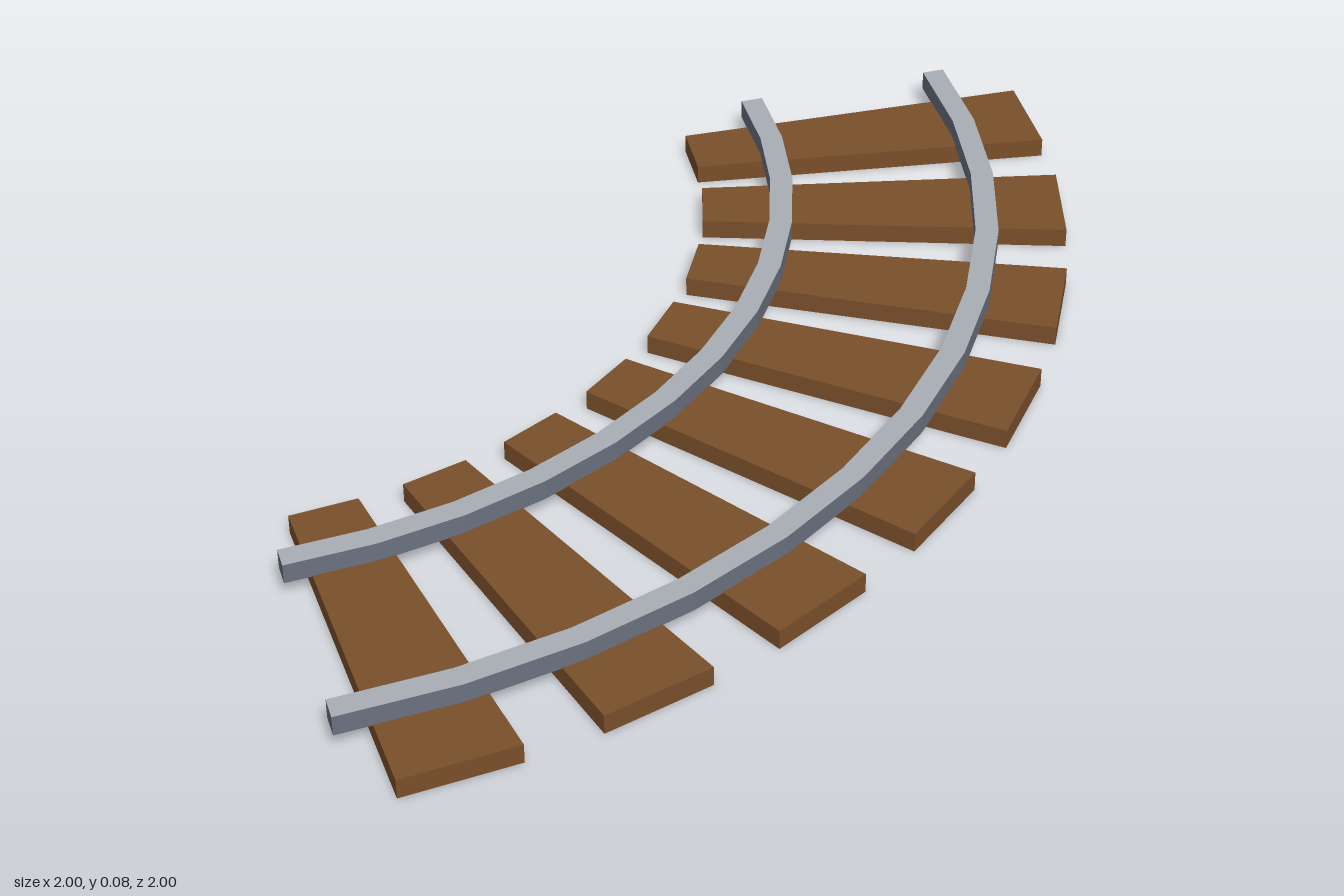
import * as THREE from 'three';

const tieBrown = new THREE.MeshStandardMaterial({ color: 0x7a4f2b });
tieBrown.name = 'tieBrown';
const railSteel = new THREE.MeshStandardMaterial({ color: 0x6b7280 });
railSteel.name = 'railSteel';
const railTopSteel = new THREE.MeshStandardMaterial({ color: 0xa9adb5 });
railTopSteel.name = 'railTopSteel';

// The curve is a quarter turn about the corner (-1, -1) of the ground plane.
const CENTRE = -1;
const rad = THREE.MathUtils.degToRad;

// Faceted ring sector between two radii, angles in degrees measured from +z.
// Material 0 covers the underside and walls, material 1 the top face.
function sector(r0, r1, a0, a1, segments, y0, y1) {
  const inner = [], outer = [];
  for (let i = 0; i <= segments; i++) {
    const a = rad(a0 + (a1 - a0) * i / segments);
    const at = r => new THREE.Vector2(CENTRE + r * Math.sin(a), -(CENTRE + r * Math.cos(a)));
    inner.push(at(r0));
    outer.push(at(r1));
  }
  const shape = new THREE.Shape([...outer, ...inner.reverse()]);
  const geo = new THREE.ExtrudeGeometry(shape, { depth: y1 - y0, bevelEnabled: false });
  const lids = geo.groups[0].count;
  const total = geo.attributes.position.count;
  geo.clearGroups();
  geo.addGroup(0, lids / 2, 0);
  geo.addGroup(lids / 2, lids / 2, 1);
  geo.addGroup(lids, total - lids, 0);
  geo.rotateX(-Math.PI / 2);
  geo.translate(0, y0, 0);
  return geo;
}

export function createModel() {
  const model = new THREE.Group();
  model.name = 'curvedTrack';

  // Eight wedge-shaped wooden ties
  const ties = new THREE.Group();
  ties.name = 'ties';
  const step = 90 / 8;
  for (let i = 0; i < 8; i++) {
    const mid = (i + 0.5) * step;
    const geo = sector(1.2, 2.0015, mid - 0.3 * step, mid + 0.3 * step, 1, 0, 0.042);
    const tie = new THREE.Mesh(geo, [tieBrown, tieBrown]);
    tie.name = 'tie' + (i + 1);
    ties.add(tie);
  }
  model.add(ties);

  // Two rails with bright running surfaces
  for (const [name, r0, r1] of [['innerRail', 1.35, 1.4], ['outerRail', 1.8, 1.85]]) {
    const rail = new THREE.Mesh(sector(r0, r1, 0, 90, 12, 0.04, 0.082), [railSteel, railTopSteel]);
    rail.name = name;
    model.add(rail);
  }
  return model;
}
